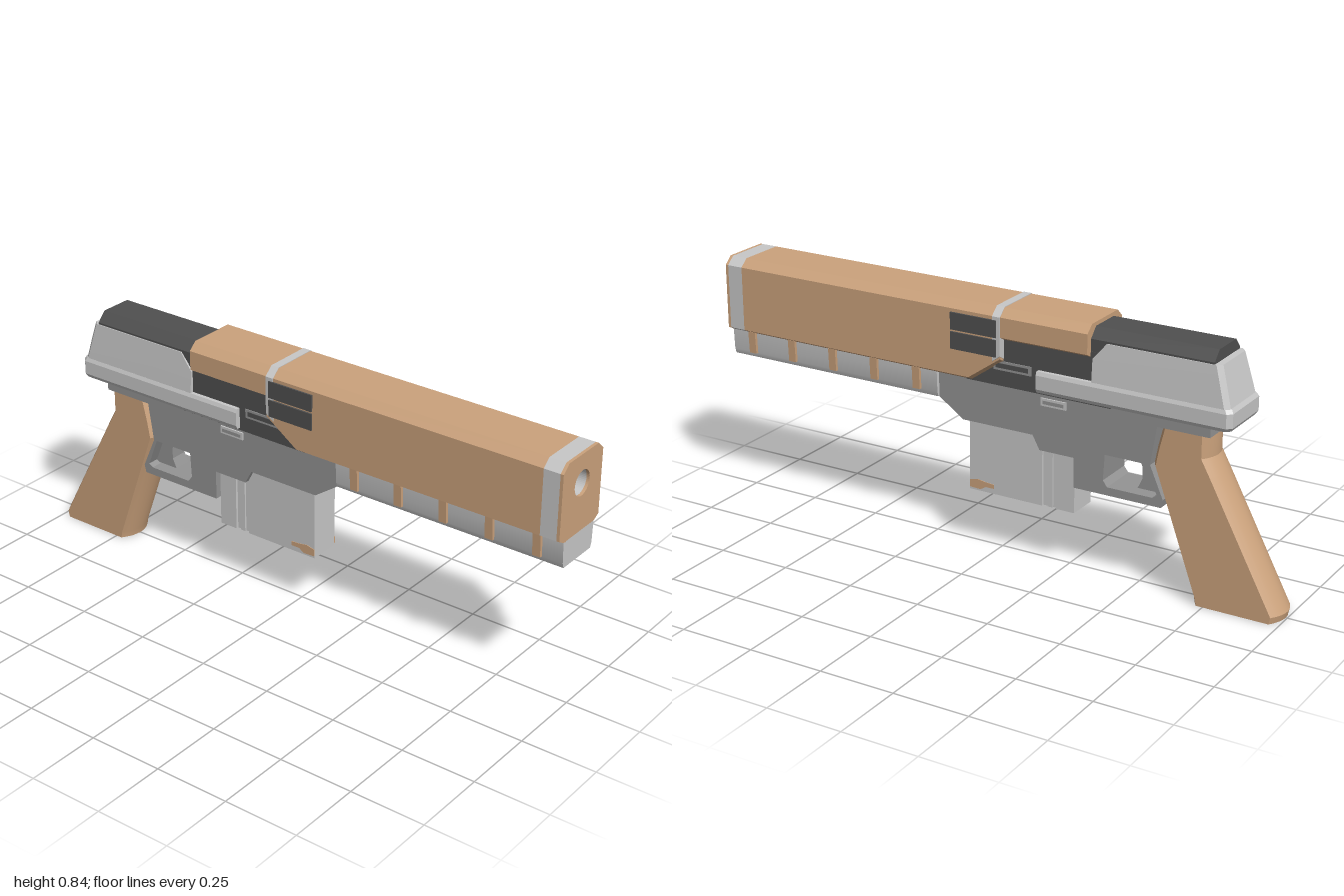
import * as THREE from 'three';
import { toCreasedNormals } from 'three/addons/utils/BufferGeometryUtils.js';

const mat = (name, color) => {
  const m = new THREE.MeshStandardMaterial({ color });
  m.name = name;
  return m;
};

// Convex rings of [x, y, z] joined in order, closed with caps
function loft(rings, crease = 0.3) {
  const v = [], n = rings[0].length;
  const tri = (a, b, c) => v.push([a, b, c]);
  for (let r = 0; r < rings.length - 1; r++) {
    for (let i = 0; i < n; i++) {
      const j = (i + 1) % n, A = rings[r], B = rings[r + 1];
      tri(A[i], A[j], B[j]);
      tri(A[i], B[j], B[i]);
    }
  }
  const first = rings[0], last = rings[rings.length - 1];
  for (let i = 1; i < n - 1; i++) {
    tri(first[0], first[i + 1], first[i]);
    tri(last[0], last[i], last[i + 1]);
  }
  // turn all faces outward if the rings run the other way
  const a = new THREE.Vector3(), b = new THREE.Vector3(), c = new THREE.Vector3(), o = new THREE.Vector3(...first[0]);
  let volume = 0;
  for (const t of v) {
    a.set(...t[0]).sub(o); b.set(...t[1]).sub(o); c.set(...t[2]).sub(o);
    volume += a.dot(b.cross(c));
  }
  if (volume < 0) v.forEach((t) => t.reverse());
  const g = new THREE.BufferGeometry();
  g.setAttribute('position', new THREE.Float32BufferAttribute(v.flat(2), 3));
  return toCreasedNormals(g, crease);
}

const shapeOf = (pts) => new THREE.Shape(pts.map((p) => new THREE.Vector2(...p)));

// Side outline in [z, y], extruded across the width
function sideExtrude(pts, width, hole) {
  const s = shapeOf(pts);
  if (hole) s.holes.push(new THREE.Path(hole.map((p) => new THREE.Vector2(...p))));
  const g = new THREE.ExtrudeGeometry(s, { depth: width, bevelEnabled: false });
  return g.translate(0, 0, -width / 2).rotateY(-Math.PI / 2);
}

// Eight-sided section of the barrel shroud
const shroudOutline = (yb = 0.59, e = 0) => [
  [0.08, yb - e], [0.108 + e, yb + 0.015], [0.108 + e, 0.82], [0.08, 0.845 + e],
  [-0.08, 0.845 + e], [-0.108 - e, 0.82], [-0.108 - e, yb + 0.015], [-0.08, yb - e],
];
const shroudRing = (z, yb, e) => shroudOutline(yb, e).map(([x, y]) => [x, y, z]);
const mirrorRing = (half, z) => [...half, ...half.map(([x, y]) => [-x, y]).reverse()].map(([x, y]) => [x, y, z]);

// Plan section with clipped rear corners
const planRing = (y, hw, zf, zr, c = 0.015) => [
  [hw, y, zf], [hw, y, zr + c], [hw - c, y, zr], [-hw + c, y, zr], [-hw, y, zr + c], [-hw, y, zf],
];

// Grip section with bowed front and back
function gripRing(y, zf, zr, bow = 0.026, hw = 0.068) {
  const pts = [];
  for (let i = 0; i <= 8; i++) {
    const t = -1 + i / 4;
    pts.push([t * hw, y, zf - bow * t * t]);
  }
  for (let i = 0; i <= 8; i++) {
    const t = 1 - i / 4;
    pts.push([t * hw, y, zr + bow * t * t]);
  }
  return pts;
}

export function createModel() {
  const tan = mat('tan', 0xcba27c), light = mat('light grey', 0xc8c8c8);
  const grey = mat('mid grey', 0x949494), dark = mat('dark grey', 0x505050);
  const model = new THREE.Group();
  const add = (name, geo, material) => {
    const m = new THREE.Mesh(geo, material);
    m.name = name;
    model.add(m);
    return m;
  };
  const box = (name, material, x0, x1, y0, y1, z0, z1) =>
    add(name, new THREE.BoxGeometry(x1 - x0, y1 - y0, z1 - z0)
      .translate((x0 + x1) / 2, (y0 + y1) / 2, (z0 + z1) / 2), material);

  // Barrel shroud: muzzle rings with bore, long body, rear hood
  const muzzle = (depth, z) => {
    const s = shapeOf(shroudOutline());
    s.holes.push(new THREE.Path().absarc(0, 0.75, 0.041, 0, Math.PI * 2, true));
    return new THREE.ExtrudeGeometry(s, { depth, bevelEnabled: false, curveSegments: 24 }).translate(0, 0, z);
  };
  add('muzzleFace', muzzle(0.01, 0.99), tan);
  add('muzzleBand', muzzle(0.055, 0.935), light);
  add('boreEnd', new THREE.CircleGeometry(0.042, 24).translate(0, 0.75, 0.937), grey);
  add('shroudBody', loft([shroudRing(0.935, 0.59), shroudRing(0.06, 0.59), shroudRing(-0.055, 0.67)]), tan);
  add('shroudHood', loft([shroudRing(-0.055, 0.74), shroudRing(-0.36, 0.74)]), tan);
  add('shroudBand', loft([shroudRing(-0.028, 0.66, 0.002), shroudRing(-0.056, 0.68, 0.002)]), light);

  // Inner slide and raised rear slide
  box('innerSlide', dark, -0.086, 0.086, 0.59, 0.76, -0.43, 0.08);
  const slideHalf = [[0.085, 0.68], [0.085, 0.8], [0.055, 0.832]];
  add('rearSlide', loft([mirrorRing(slideHalf, -0.35), mirrorRing(slideHalf, -0.768)]), dark);

  // Rear cover with its ledge
  add('coverLedge', loft([
    planRing(0.598, 0.098, -0.18, -0.828), planRing(0.61, 0.104, -0.18, -0.835),
    planRing(0.655, 0.104, -0.18, -0.835), planRing(0.667, 0.099, -0.18, -0.828),
  ]), light);
  add('rearCover', loft([
    planRing(0.665, 0.099, -0.37, -0.825), planRing(0.74, 0.093, -0.37, -0.805),
    planRing(0.794, 0.088, -0.415, -0.79),
  ]), light);

  // Rail under the barrel
  const railHalf = [[0.074, 0.505], [0.08, 0.522], [0.083, 0.592]];
  add('underRail', loft([mirrorRing(railHalf, 1), mirrorRing(railHalf, 0.193)]), light);

  // Frame with trigger guard
  add('frame', sideExtrude([
    [0.194, 0.6], [0.194, 0.505], [0.105, 0.443], [-0.15, 0.443], [-0.175, 0.397], [-0.297, 0.397],
    [-0.297, 0.298], [-0.6, 0.298], [-0.606, 0.325], [-0.56, 0.43], [-0.58, 0.557], [-0.755, 0.557], [-0.755, 0.6],
  ], 0.138, [[-0.4, 0.345], [-0.405, 0.43], [-0.548, 0.43], [-0.585, 0.335], [-0.57, 0.325], [-0.415, 0.325]]), grey);
  add('trigger', sideExtrude([
    [-0.5, 0.435], [-0.515, 0.4], [-0.515, 0.36], [-0.5, 0.328], [-0.59, 0.328], [-0.552, 0.435],
  ], 0.06), grey);

  // Magazine with grooves
  box('magazineFront', light, -0.053, 0.053, 0.204, 0.46, -0.176, 0.09);
  box('magazineGroove', light, -0.044, 0.044, 0.204, 0.44, -0.235, -0.17);
  box('magazineRidge', light, -0.05, 0.05, 0.204, 0.44, -0.212, -0.194);
  box('magazineRear', light, -0.053, 0.053, 0.204, 0.42, -0.292, -0.228);

  // Grip
  add('grip', loft([
    gripRing(0.003, -0.702, -0.995), gripRing(0.025, -0.698, -1), gripRing(0.43, -0.552, -0.784),
    gripRing(0.484, -0.562, -0.754), gripRing(0.557, -0.58, -0.754),
  ], 0.4), tan);

  // Details on both sides
  for (const s of [1, -1]) {
    const side = (name, material, x0, x1, ...rest) =>
      box(name, material, Math.min(s * x0, s * x1), Math.max(s * x0, s * x1), ...rest);
    for (const y of [0.69, 0.753]) side('sidePlate', dark, 0.105, 0.114, y, y + 0.056, -0.043, 0.122);
    for (let i = 0; i < 5; i++) {
      const z = 0.917 - i * 0.1625;
      const rib = (zz) => [[0.07, 0.522], [0.09, 0.522], [0.094, 0.597], [0.07, 0.597]].map(([x, y]) => [s * x, y, zz]);
      add('railRib', loft([rib(z + 0.0135), rib(z - 0.0135)]), tan);
    }
    side('slideCatch', grey, 0.08, 0.089, 0.642, 0.672, -0.155, -0.02);
    side('slideCatchInset', dark, 0.085, 0.091, 0.65, 0.665, -0.145, -0.03);
    side('frameLever', light, 0.065, 0.074, 0.548, 0.573, -0.27, -0.18);
    side('frameLeverInset', grey, 0.07, 0.076, 0.555, 0.566, -0.262, -0.188);

    // Worn patch on the magazine
    const patch = sideExtrude([
      [0.09, 0.212], [0.09, 0.236], [0.06, 0.243], [0.03, 0.238], [0.0, 0.236], [0.0, 0.222], [0.03, 0.222], [0.05, 0.21],
    ], 0.004);
    add('magazinePatch', patch.translate(s * 0.053, 0, 0), tan);
  }
  return model;
}
